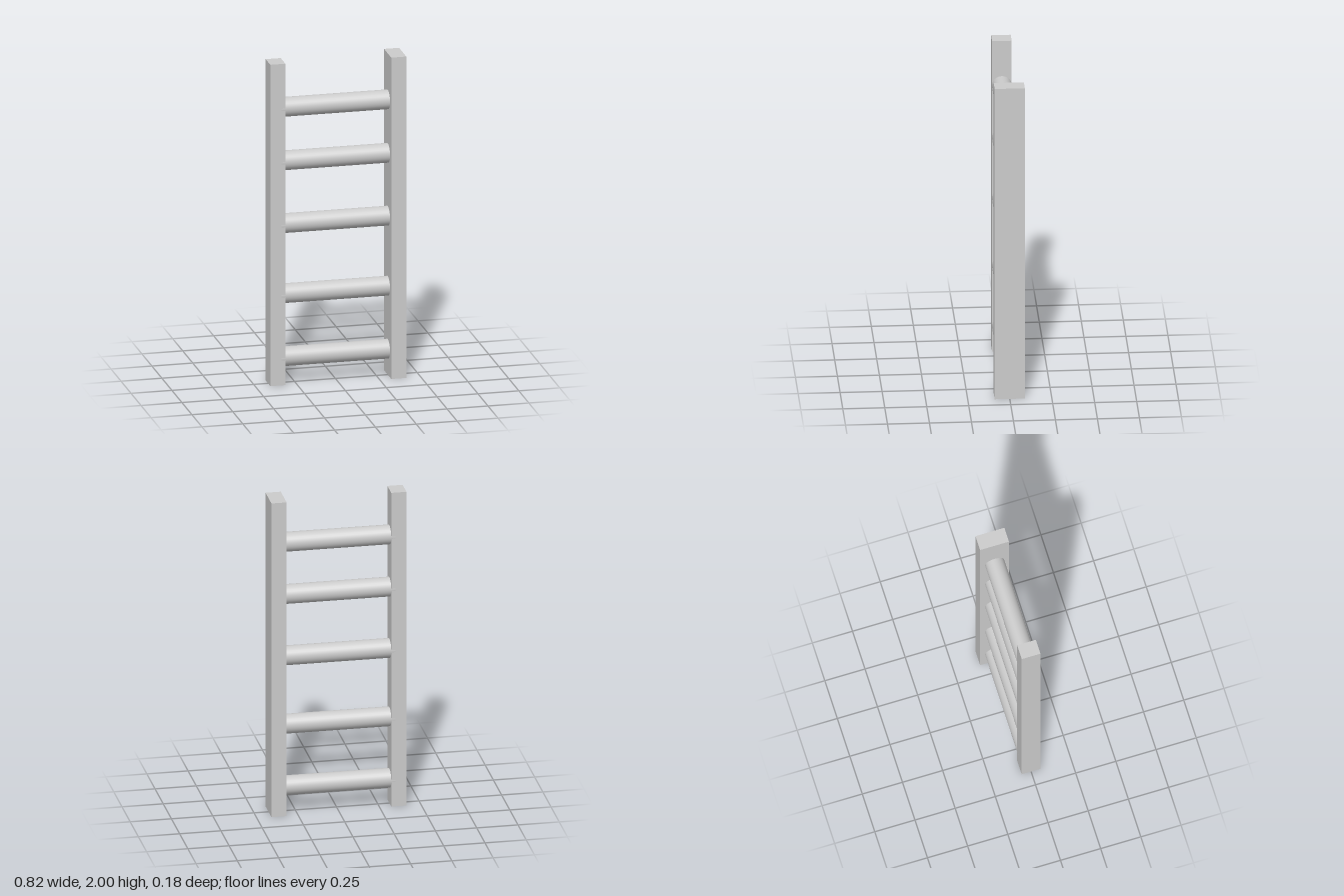
import * as THREE from 'three';

const HEIGHT = 2;
const RAIL_WIDTH = 0.092;
const RAIL_X = 0.366;
const RUNG_RADIUS = 0.0592;
const RUNG_LENGTH = 0.69;
const RUNG_HEIGHTS = [0.162, 0.554, 0.99, 1.381, 1.714];

export function createModel() {
  const ladder = new THREE.Group();
  ladder.name = 'ladder';
  const material = new THREE.MeshStandardMaterial({ color: 0xcccccc });

  // Upright rails: the left one is deeper than the right one
  const addRail = (name, x, depth) => {
    const rail = new THREE.Mesh(new THREE.BoxGeometry(RAIL_WIDTH, HEIGHT, depth), material);
    rail.name = name;
    rail.position.set(x, HEIGHT / 2, 0);
    ladder.add(rail);
  };
  addRail('leftRail', RAIL_X, 0.18);
  addRail('rightRail', -RAIL_X, 0.117);

  // Round rungs, with their ends let into both rails
  const rungGeometry = new THREE.CylinderGeometry(RUNG_RADIUS, RUNG_RADIUS, RUNG_LENGTH, 32);
  rungGeometry.rotateZ(Math.PI / 2);
  RUNG_HEIGHTS.forEach((y, i) => {
    const rung = new THREE.Mesh(rungGeometry, material);
    rung.name = `rung${i + 1}`;
    rung.position.y = y;
    ladder.add(rung);
  });

  return ladder;
}
